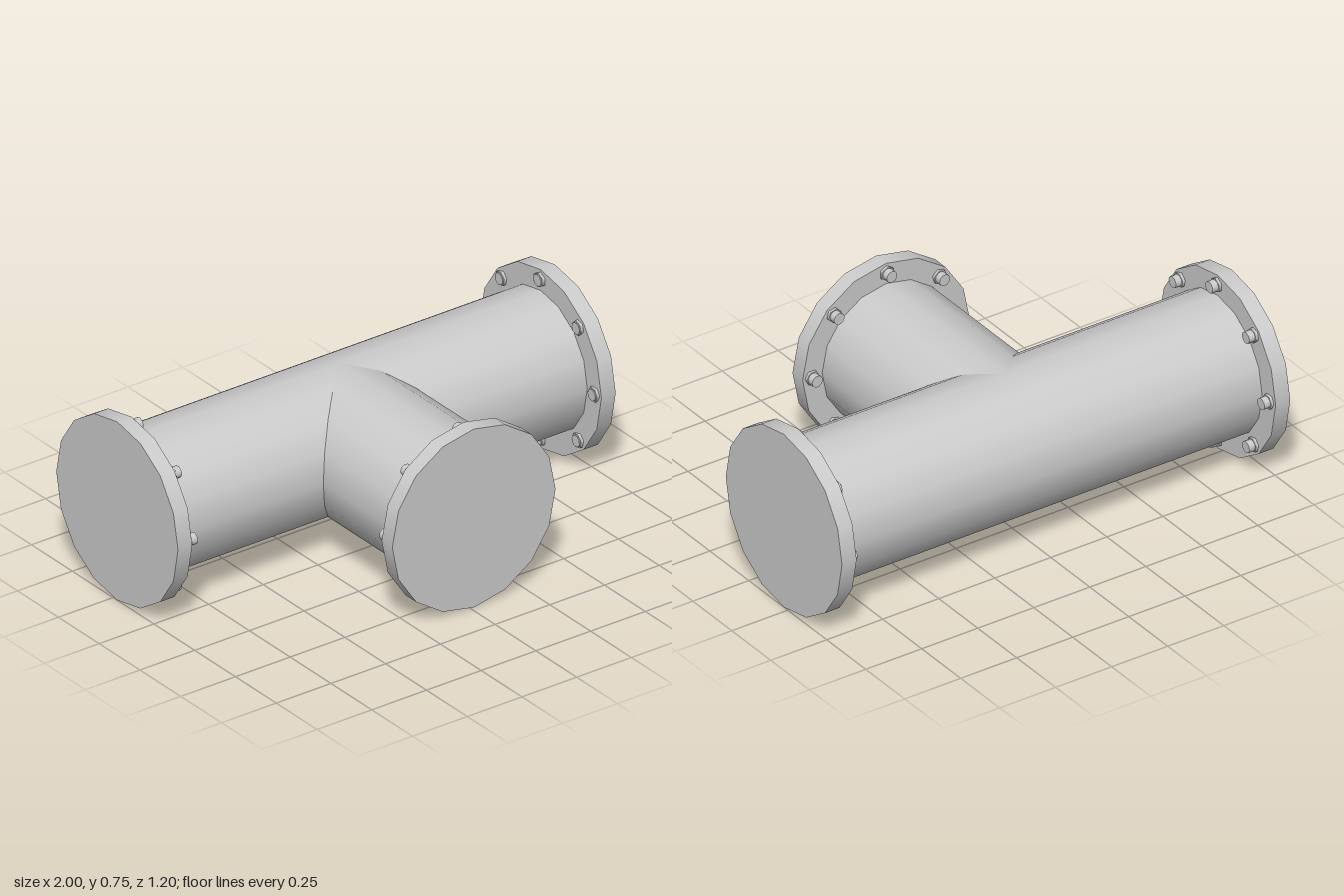
import * as THREE from 'three';

const SIDES = 16;
const AXIS_Y = 0.376, AXIS_Z = -0.225, BRANCH_X = 0.015;
const PIPE_R = 0.286, FLANGE_R = 0.373, FLANGE_T = 0.065;
const BOLT_RING = 0.333, BOLTS = 8;

const material = new THREE.MeshStandardMaterial({ color: 0xcccccc });

// Cylinder along y spanning from y0 to y1
function cylinder(name, radius, y0, y1, sides, open = false) {
  const geometry = new THREE.CylinderGeometry(radius, radius, y1 - y0, sides, 1, open);
  geometry.translate(0, (y0 + y1) / 2, 0);
  const mesh = new THREE.Mesh(geometry, material);
  mesh.name = name;
  return mesh;
}

// Blind flange: inner face at y = 0, outer face along +y, bolts on the inner face
function createFlange(name, boltHeight) {
  const flange = new THREE.Group();
  flange.name = name;
  flange.add(cylinder('flangeDisc', FLANGE_R, 0, FLANGE_T, SIDES));
  for (let i = 0; i < BOLTS; i++) {
    const angle = (i / BOLTS) * Math.PI * 2;
    const bolt = new THREE.Group();
    bolt.name = 'bolt';
    bolt.add(cylinder('nut', 0.03, -0.012, 0.005, 6));
    bolt.add(cylinder('boltEnd', 0.024, -boltHeight, 0.005, 10));
    bolt.position.set(Math.sin(angle) * BOLT_RING, 0, Math.cos(angle) * BOLT_RING);
    bolt.rotation.y = angle;
    flange.add(bolt);
  }
  return flange;
}

export function createModel() {
  const model = new THREE.Group();
  model.name = 'pipeTee';

  // Straight run along x
  const run = cylinder('mainPipe', PIPE_R, -0.94, 0.94, SIDES, true);
  run.rotation.z = -Math.PI / 2;
  run.position.set(0, AXIS_Y, AXIS_Z);
  model.add(run);

  // Branch of the same bore, meeting the run in a mitre
  const branch = cylinder('branchPipe', PIPE_R, 0, 0.54 - AXIS_Z, SIDES, true);
  branch.rotation.x = Math.PI / 2;
  branch.position.set(BRANCH_X, AXIS_Y, AXIS_Z);
  model.add(branch);

  // Flanges closing the three ends
  const left = createFlange('leftFlange', 0.016);
  left.rotation.z = -Math.PI / 2;
  left.position.set(1 - FLANGE_T, AXIS_Y, AXIS_Z);

  const right = createFlange('rightFlange', 0.038);
  right.rotation.z = Math.PI / 2;
  right.position.set(-1 + FLANGE_T, AXIS_Y, AXIS_Z);

  const front = createFlange('branchFlange', 0.038);
  front.rotation.x = Math.PI / 2;
  front.position.set(BRANCH_X, AXIS_Y, 0.6 - FLANGE_T);

  model.add(left, right, front);
  return model;
}
